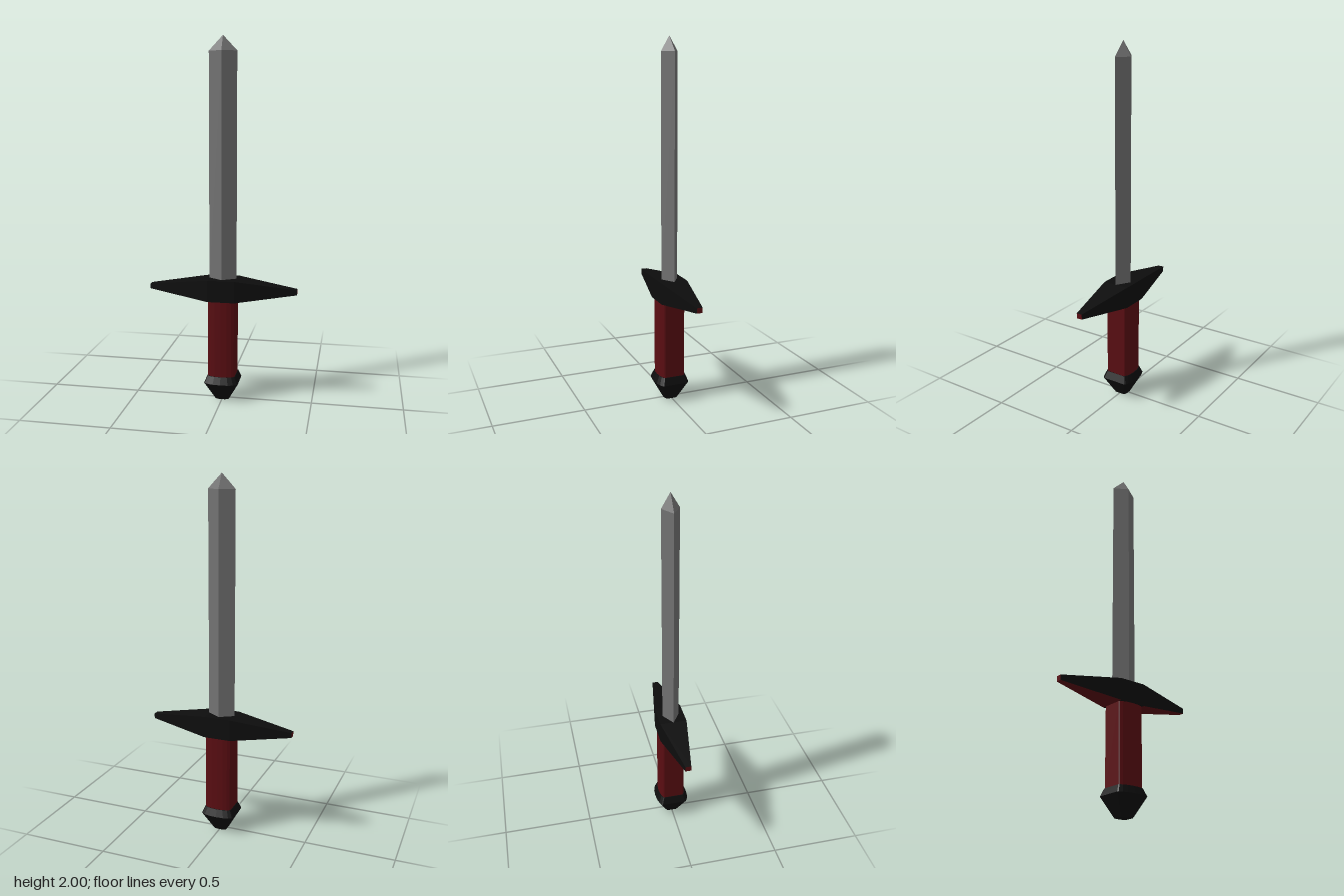
import * as THREE from 'three';

const material = (color) => new THREE.MeshStandardMaterial({ color, flatShading: true });

// Cross-section of the handle: flat sides, arched front and back, going round from +z towards +x
const quarter = [[0, 1], [0.45, 0.97], [0.75, 0.89], [0.95, 0.79], [1, 0.72]];
const half = [...quarter, ...[...quarter].reverse().map(([x, z]) => [x, -z])];
const section = [...half, ...half.slice(1, -1).reverse().map(([x, z]) => [-x, z])];

// Tapered cylinder whose round outline is replaced by the handle section
function handlePiece(bottomRadius, topRadius, y0, y1) {
  const n = section.length;
  const g = new THREE.CylinderGeometry(topRadius, bottomRadius, y1 - y0, n);
  const p = g.attributes.position;
  for (let i = 0; i < p.count; i++) {
    const r = Math.hypot(p.getX(i), p.getZ(i));
    const k = Math.round(Math.atan2(p.getX(i), p.getZ(i)) / (2 * Math.PI) * n);
    const [x, z] = section[(k + n) % n];
    p.setX(i, x * r);
    p.setZ(i, z * r);
  }
  g.translate(0, (y0 + y1) / 2, 0);
  g.computeVertexNormals();
  return g;
}

export function createModel() {
  const model = new THREE.Group();
  model.name = 'sword';
  const steel = material(0x727272);
  const black = material(0x0d0d0d);
  const red = material(0x5a0d12);

  const add = (name, geometry, mat) => {
    const mesh = new THREE.Mesh(geometry, mat);
    mesh.name = name;
    model.add(mesh);
    return mesh;
  };

  // Blade: diamond prism with a short four-sided point
  const diamond = (topRadius, y0, y1) =>
    new THREE.CylinderGeometry(topRadius, 0.076, y1 - y0, 4, 1, topRadius === 0)
      .scale(1, 1, 0.62).translate(0, (y0 + y1) / 2, 0);
  add('blade', diamond(0.076, 0.68, 1.92), steel);
  add('bladePoint', diamond(0, 1.92, 2), steel);

  // Guard: square block with an arm tapering out on each side, red beneath and at the ends
  const guardY = 0.634;
  add('guardBlock', new THREE.BoxGeometry(0.15, 0.12, 0.15).translate(0, guardY, 0), black);
  const arm = new THREE.BoxGeometry(0.335, 0.12, 0.15).translate(0.2425, 0, 0);
  const p = arm.attributes.position;
  for (let i = 0; i < p.count; i++) {
    if (p.getX(i) > 0.2) {
      p.setY(i, Math.sign(p.getY(i)) * 0.014);
      p.setZ(i, Math.sign(p.getZ(i)) * 0.016);
    }
  }
  arm.computeVertexNormals();
  const armMaterials = [red, black, black, red, black, black];
  for (const [name, turn] of [['leftGuardArm', 0], ['rightGuardArm', Math.PI]]) {
    const mesh = add(name, arm, armMaterials);
    mesh.position.y = guardY;
    mesh.rotation.y = turn;
  }

  // Grip and pommel
  add('grip', handlePiece(0.075, 0.075, 0.13, 0.58), red);
  add('pommelTop', handlePiece(0.095, 0.078, 0.105, 0.145), black);
  add('pommelBase', handlePiece(0.037, 0.095, 0, 0.105), black);

  return model;
}
